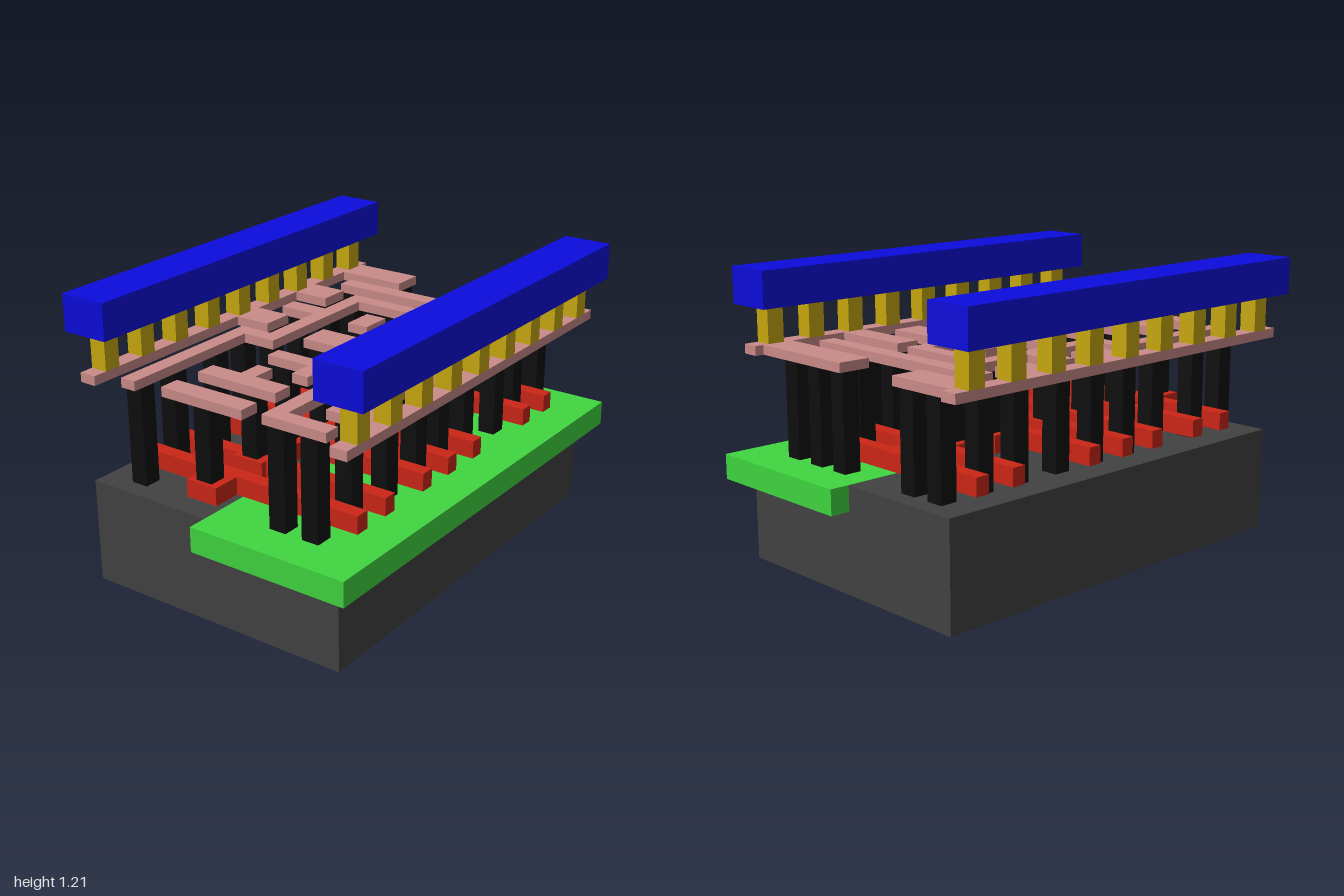
import * as THREE from 'three';

const mat = (color) => new THREE.MeshStandardMaterial({ color });
const MATS = {
  substrate: mat(0x424242), well: mat(0x40d640), gate: mat(0xcc2616), contact: mat(0x0e0e0e),
  wire: mat(0xca8b88), via: mat(0xc8a80e), rail: mat(0x0c0cdd),
};

// Box given by its extents on each axis
function slab(parent, name, material, x0, x1, y0, y1, z0, z1) {
  const mesh = new THREE.Mesh(new THREE.BoxGeometry(x1 - x0, y1 - y0, z1 - z0), material);
  mesh.position.set((x0 + x1) / 2, (y0 + y1) / 2, (z0 + z1) / 2);
  mesh.name = name;
  parent.add(mesh);
}

function section(parent, name) {
  const g = new THREE.Group();
  g.name = name;
  parent.add(g);
  return g;
}

// Layer heights
const TOP = 0.445, GATE = [0.475, 0.55], WIRE = [0.86, 0.9], RAIL = [1.055, 1.21];
const HALF = 0.915, W = 0.0375;

// Gate bars (centre z) and the wider tabs that join or extend them (z range)
const gateBars = [-0.712, -0.528, -0.114, 0.077, 0.26, 0.52, 0.7];
const gateTabs = [[-0.7, -0.385], [-0.283, -0.07], [0.02, 0.134], [0.235, 0.36], [0.455, 0.578], [0.674, 0.855]];

// Flat wiring, each strip as x0, x1, z0, z1
const wiring = {
  backLeadRight: [[-0.6, -0.25, -0.877, -0.735]],
  backLeadLeft: [[0.062, 0.6, -0.877, -0.735]],
  backCrossWire: [[-0.47, 0.487, -0.655, -0.58]],
  shortLeadRight: [[-0.6, -0.4, -0.505, -0.365]],
  shortLeadLeft: [[0.21, 0.6, -0.47, -0.365]],
  windingWire: [
    [-0.32, 0.13, -0.485, -0.415], [0.062, 0.13, -0.485, -0.14], [0.062, 0.465, -0.275, -0.14],
    [-0.32, -0.25, -0.485, 0.2], [-0.49, -0.25, -0.255, -0.17],
    [-0.47, -0.25, 0.13, 0.2], [-0.47, -0.4, 0.13, 0.865],
  ],
  middleLeadRight: [[-0.6, -0.4, -0.095, 0.05]],
  smallPad: [[-0.127, -0.03, -0.3, -0.16]],
  middlePad: [[-0.165, 0.113, -0.035, 0.105]],
  combWire: [
    [0.195, 0.265, -0.053, 0.83], [0.195, 0.487, -0.053, 0.016],
    [0.195, 0.487, 0.32, 0.385], [0.195, 0.487, 0.76, 0.83],
  ],
  middleLeadLeft: [[0.36, 0.6, 0.11, 0.22]],
  frontLeadLeft: [[0.36, 0.6, 0.555, 0.66]],
  hookWire: [[-0.165, 0.113, 0.27, 0.34], [0.037, 0.113, 0.27, 0.445]],
  teeWire: [[-0.127, -0.055, 0.45, 0.6], [-0.27, 0.113, 0.555, 0.645]],
  frontPad: [[-0.28, 0.113, 0.755, 0.845]],
};

// Contact posts: [z, ...x]
const basePosts = [
  [-0.802, -0.432, -0.283, 0.132, 0.28, 0.43], [-0.617, -0.432, 0.264, 0.415],
  [-0.435, -0.432, 0.28, 0.43], [-0.21, -0.432, 0.28, 0.415],
  [-0.014, -0.432, 0.415], [0.175, -0.4325, 0.43], [0.355, -0.432, 0.415],
  [0.612, -0.432, 0.43], [0.8, -0.432, 0.264, 0.415],
];
const gatePosts = [-0.45, -0.225, 0.08, 0.312, 0.525, 0.8];

export function createModel() {
  const model = new THREE.Group();
  model.name = 'chipCell';

  // Base block with a well set into its left half
  slab(model, 'substrate', MATS.substrate, -0.6, 0.6, 0, TOP, -HALF, HALF);
  slab(model, 'well', MATS.well, -0.025, 0.683, 0.34, TOP + 0.001, -1, 1);

  // Gate bars and tabs
  const gates = section(model, 'gates');
  for (const z of gateBars) slab(gates, 'gateBar', MATS.gate, -0.553, 0.553, ...GATE, z - 0.031, z + 0.031);
  for (const [z0, z1] of gateTabs) slab(gates, 'gateTab', MATS.gate, -0.163, -0.017, ...GATE, z0, z1);

  // Contact posts on the base and on the gate tabs
  const posts = section(model, 'contactPosts');
  for (const [z, ...xs] of basePosts)
    for (const x of xs) slab(posts, 'basePost', MATS.contact, x - W, x + W, TOP, WIRE[0], z - W, z + W);
  for (const z of gatePosts) slab(posts, 'gatePost', MATS.contact, -0.09 - W, -0.09 + W, GATE[1], WIRE[0], z - W, z + W);

  // Wiring layer
  const wires = section(model, 'wiring');
  for (const [name, strips] of Object.entries(wiring)) {
    const g = section(wires, name);
    for (const [x0, x1, z0, z1] of strips) slab(g, 'strip', MATS.wire, x0, x1, ...WIRE, z0, z1);
  }

  // Edge strip, vias and power rail on each side
  for (const s of [-1, 1]) {
    const side = section(model, s > 0 ? 'leftRail' : 'rightRail');
    const c = s * 0.6;
    slab(side, 'edgeStrip', MATS.wire, c - 0.037, c + 0.037, ...WIRE, -HALF, HALF);
    for (let i = -4; i <= 4; i++)
      slab(side, 'via', MATS.via, c - W, c + W, WIRE[1], RAIL[0], i * 0.2035 - W, i * 0.2035 + W);
    slab(side, 'powerRail', MATS.rail, c - 0.105, c + 0.105, ...RAIL, -HALF, HALF);
  }
  return model;
}
